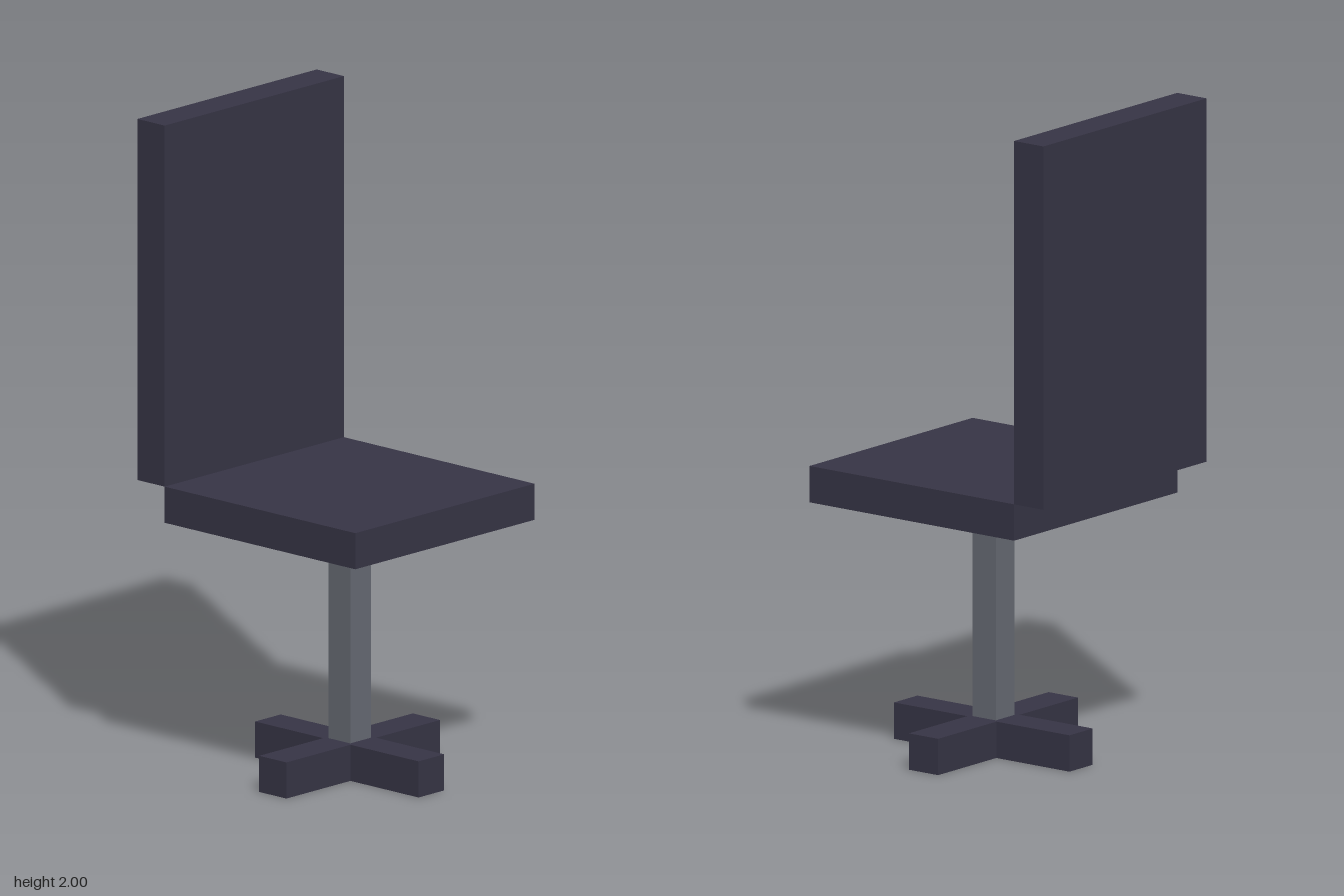
import * as THREE from 'three';

export function createModel() {
  const model = new THREE.Group();
  model.name = 'chair';

  const upholstery = new THREE.MeshStandardMaterial({ color: 0x373546 });
  upholstery.name = 'dark slate';
  const metal = new THREE.MeshStandardMaterial({ color: 0x676b74 });
  metal.name = 'grey metal';

  const u = 1 / 9; // thickness of every slab
  const postZ = u / 2;

  // Adds a box given its size and the centre of its underside
  function box(name, material, [w, h, d], [x, y, z], parent = model) {
    const mesh = new THREE.Mesh(new THREE.BoxGeometry(w, h, d), material);
    mesh.name = name;
    mesh.position.set(x, y + h / 2, z);
    parent.add(mesh);
  }

  // Seat and upright back, meeting along one edge
  box('seat', upholstery, [7 * u, u, 7 * u], [0, 7 * u, u / 2]);
  box('backrest', upholstery, [7 * u, 10 * u, u], [0, 8 * u, -3.5 * u]);

  // Square post
  box('post', metal, [0.8 * u, 6 * u, 0.8 * u], [0, u, postZ]);

  // Cross-shaped foot: one full bar and a stub on each side
  const foot = new THREE.Group();
  foot.name = 'foot';
  model.add(foot);
  box('footBar', upholstery, [6 * u, u, u], [0, 0, postZ], foot);
  for (const side of [1, -1]) {
    box(side > 0 ? 'frontFoot' : 'backFoot', upholstery,
      [u, u, 2.5 * u], [0, 0, postZ + side * 1.75 * u], foot);
  }

  return model;
}
